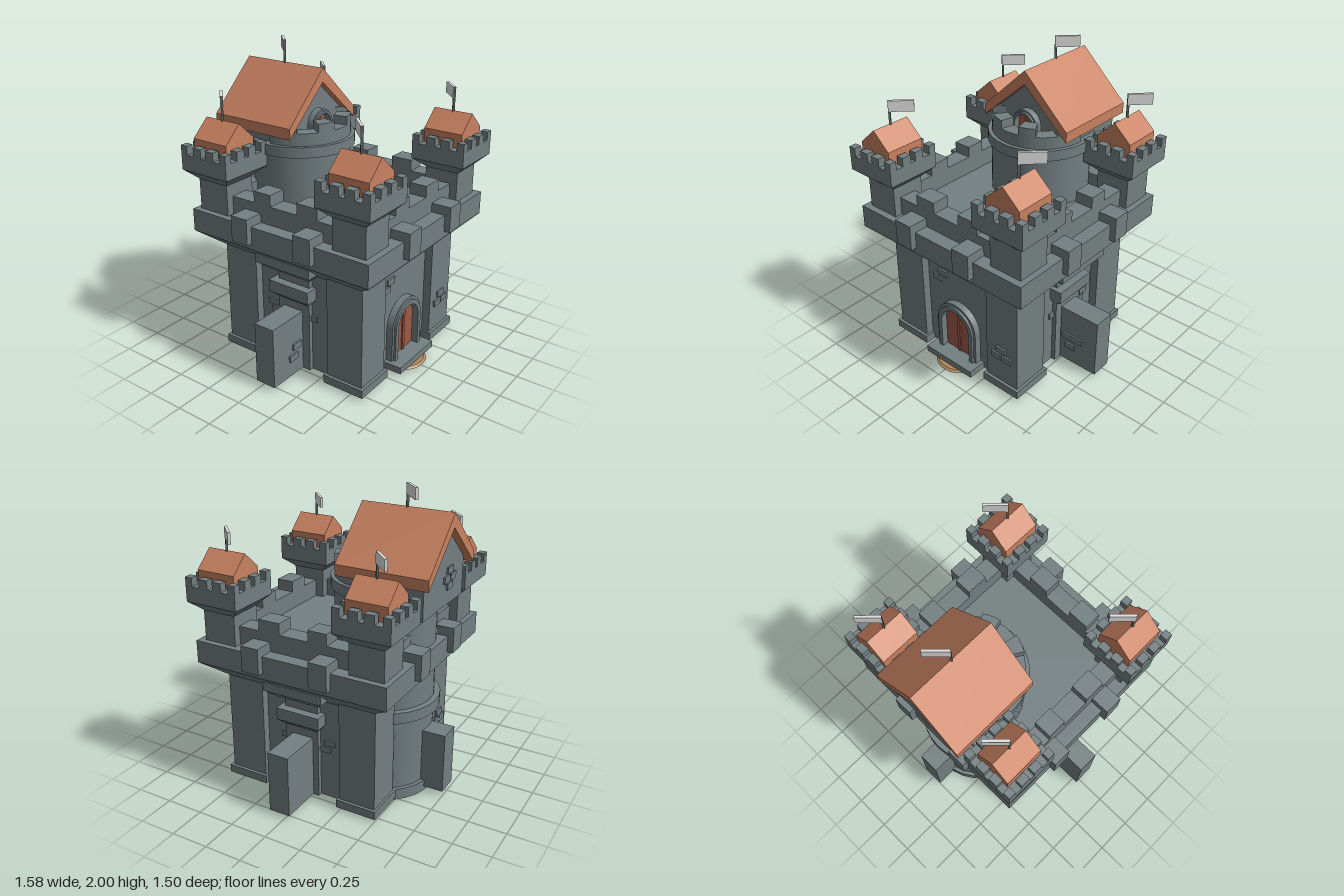
import * as THREE from 'three';

const mat = (name, color) => {
  const m = new THREE.MeshStandardMaterial({ color });
  m.name = name;
  return m;
};

export function createModel() {
  const root = new THREE.Group();
  root.name = 'castle';
  const stone = mat('stone grey', 0x737f81);
  const tile = mat('roof orange', 0xc88160);
  const wood = mat('door red', 0x9c5846);
  const cloth = mat('flag grey', 0xdedede);
  const iron = mat('pole grey', 0x5f6465);
  const mud = mat('mat tan', 0xb0895a);

  const add = (name, geo, m = stone, parent = root) => {
    const mesh = new THREE.Mesh(geo, m);
    mesh.name = name;
    parent.add(mesh);
    return mesh;
  };
  // box from its limits
  const box = (name, x0, x1, y0, y1, z0, z1, m = stone, parent = root) => {
    const g = new THREE.BoxGeometry(Math.abs(x1 - x0), y1 - y0, Math.abs(z1 - z0));
    g.translate((x0 + x1) / 2, (y0 + y1) / 2, (z0 + z1) / 2);
    return add(name, g, m, parent);
  };
  // box that narrows towards its bottom
  const flare = (name, x, z, y0, y1, bw, bd, tw, td, parent = root) => {
    const g = new THREE.BoxGeometry(1, 1, 1);
    const p = g.attributes.position;
    for (let i = 0; i < p.count; i++) {
      const top = p.getY(i) > 0;
      p.setXYZ(i, x + p.getX(i) * (top ? tw : bw), top ? y1 : y0, z + p.getZ(i) * (top ? td : bd));
    }
    g.computeVertexNormals();
    return add(name, g, stone, parent);
  };
  const drum = (name, r, y0, y1, z, m = stone, rTop = r) => {
    const g = new THREE.CylinderGeometry(rTop, r, y1 - y0, 28);
    g.translate(0, (y0 + y1) / 2, z);
    return add(name, g, m);
  };
  // flat shape in x-y, extruded along z
  const prism = (name, pts, z0, z1, m, parent = root) => {
    const s = new THREE.Shape(pts.map(([x, y]) => new THREE.Vector2(x, y)));
    const g = new THREE.ExtrudeGeometry(s, { depth: z1 - z0, bevelEnabled: false });
    g.translate(0, 0, z0);
    return add(name, g, m, parent);
  };
  // pole with a flag turned to the back left
  const flag = (x, y, z, top) => {
    const f = new THREE.Group();
    f.name = 'flag';
    box('flagPole', -0.007, 0.007, 0, top - y, -0.007, 0.007, iron, f);
    box('flagCloth', -0.005, 0.152, top - y - 0.07, top - y + 0.001, -0.009, 0.009, cloth, f);
    f.position.set(x, y, z);
    f.rotation.y = Math.PI / 4;
    root.add(f);
  };
  // round-headed doorway with two leaves
  const archPath = (s, r, y0, ySpring) => {
    s.moveTo(-r, y0);
    s.lineTo(r, y0);
    s.lineTo(r, ySpring);
    s.absarc(0, ySpring, r, 0, Math.PI, false);
    s.lineTo(-r, y0);
    return s;
  };
  const doorway = (r, frame, y0, ySpring, z) => {
    const ext = (s, d) => new THREE.ExtrudeGeometry(s, { depth: d, bevelEnabled: false, curveSegments: 10 });
    for (const [w, depth] of [[frame, 0.045], [frame * 0.6, 0.06]]) {
      const s = archPath(new THREE.Shape(), r + w, y0, ySpring);
      s.holes.push(archPath(new THREE.Path(), r, y0 + 0.0005, ySpring));
      add('doorFrame', ext(s, depth)).position.z = z;
    }
    add('doorLeaves', ext(archPath(new THREE.Shape(), r, y0, ySpring), 0.015), wood).position.z = z;
    box('doorSeam', -0.012, 0.012, y0, ySpring + r * 0.96, z + 0.012, z + 0.025, wood);
  };

  const CZ = 0.045;

  // keep: core, corner piers and their hollow-bottomed plinths
  box('coreWalls', -0.475, 0.475, 0.06, 0.75, -0.435, 0.525);
  for (const sx of [-1, 1]) {
    for (const [z0, z1] of [[0.32, 0.58], [-0.49, -0.24]]) {
      box('cornerPier', sx * 0.28, sx * 0.53, 0.06, 0.76, z0, z1);
      const p0 = z0 - 0.015, p1 = z1 + (z1 > 0 ? 0.02 : 0.01), t = 0.045;
      box('plinthOuter', sx * (0.55 - t), sx * 0.55, 0.02, 0.075, p0, p1);
      box('plinthInner', sx * 0.265, sx * (0.265 + t), 0.02, 0.075, p0, p1);
      box('plinthBack', sx * 0.265, sx * 0.55, 0.02, 0.075, p0, p0 + t);
      box('plinthFront', sx * 0.265, sx * 0.55, 0.02, 0.075, p1 - t, p1);
    }
    box('sideSill', sx * 0.44, sx * 0.475, 0.025, 0.07, -0.24, 0.32);
  }
  for (const z of [0.12, 0.24, 0.36]) box('floorBeam', -0.46, 0.46, 0.03, 0.07, z, z + 0.05);
  box('frontSill', -0.28, 0.28, 0.025, 0.07, 0.46, 0.525);

  // overhanging cornice and wall walk
  flare('corniceSlope', 0, CZ, 0.69, 0.86, 0.92, 0.92, 1.34, 1.34);
  box('corniceBand', -0.67, 0.67, 0.86, 1.01, -0.63, 0.71);

  // parapet with merlons, and blocks hung over the edge
  box('frontParapet', -0.42, 0.42, 1.0, 1.13, 0.495, 0.615);
  box('backParapet', -0.42, 0.42, 1.0, 1.13, -0.54, -0.42);
  for (const sx of [-1, 1]) {
    box('sideParapet', sx * 0.455, sx * 0.58, 1.0, 1.13, -0.42, 0.5);
    box('frontMerlon', sx * 0.1, sx * 0.25, 1.13, 1.205, 0.495, 0.615);
    box('frontEdgeBlock', sx * 0.175, sx * 0.305, 0.9, 1.07, 0.615, 0.75);
    box('backEdgeBlock', sx * 0.175, sx * 0.305, 0.9, 1.07, -0.67, -0.54);
    for (const [z0, z1] of [[0.14, 0.29], [-0.19, -0.06]]) box('sideMerlon', sx * 0.455, sx * 0.58, 1.13, 1.205, z0, z1);
    for (const [z0, z1] of [[0.21, 0.335], [-0.265, -0.14]]) box('sideEdgeBlock', sx * 0.58, sx * 0.71, 0.9, 1.07, z0, z1);
  }

  // four corner turrets
  for (const x of [-0.515, 0.515]) for (const z of [0.55, -0.48]) {
    const t = new THREE.Group();
    t.name = 'cornerTurret';
    t.position.set(x, 0, z);
    root.add(t);
    box('turretShaft', -0.115, 0.115, 1.0, 1.22, -0.115, 0.115, stone, t);
    flare('turretFlare', 0, 0, 1.21, 1.275, 0.23, 0.23, 0.37, 0.37, t);
    box('turretHead', -0.185, 0.185, 1.275, 1.378, -0.185, 0.185, stone, t);
    const w = 0.064, step = (0.37 - w) / 3;
    for (let i = 0; i < 4; i++) for (let j = 0; j < 4; j++) {
      if (i % 3 && j % 3) continue;
      const a = -0.185 + i * step, b = -0.185 + j * step;
      // keep the merlons in a thin ring along each side
      const [a0, a1] = i === 0 ? [a, a + 0.05] : i === 3 ? [a + w - 0.05, a + w] : [a, a + w];
      const [b0, b1] = j === 0 ? [b, b + 0.05] : j === 3 ? [b + w - 0.05, b + w] : [b, b + w];
      box('turretMerlon', a0, a1, 1.378, 1.435, b0, b1, stone, t);
    }
    prism('turretRoof', [[-0.122, 1.375], [0.122, 1.375], [0.122, 1.47], [0, 1.58], [-0.122, 1.47]], -0.135, 0.135, tile, t);
    flag(x, 1.57, z, 1.73);
  }

  // round tower with hoops and a crown around a red floor
  const TZ = -0.275;
  drum('roundTower', 0.325, 0.02, 1.42, TZ);
  drum('towerPlinth', 0.35, 0.0, 0.075, TZ);
  drum('lowerHoop', 0.365, 0.56, 0.635, TZ);
  drum('upperHoop', 0.347, 1.35, 1.42, TZ);
  drum('towerFloor', 0.23, 1.41, 1.426, TZ, wood);
  const sector = (name, a0, a1, y0, y1) => {
    const s = new THREE.Shape();
    s.absarc(0, 0, 0.32, a0, a1, false);
    s.absarc(0, 0, 0.225, a1, a0, true);
    const g = new THREE.ExtrudeGeometry(s, { depth: y1 - y0, bevelEnabled: false, curveSegments: a1 - a0 > 2 ? 14 : 4 });
    g.rotateX(-Math.PI / 2);
    g.translate(0, y0, TZ);
    add(name, g);
  };
  sector('crownWall', -Math.PI, 0, 1.42, 1.5);
  for (let i = 0; i < 4; i++) {
    const a = -Math.PI + (i + 0.5) * Math.PI / 4;
    sector('crownMerlon', a - 0.18, a + 0.18, 1.5, 1.555);
  }

  // gabled hall and its roof
  prism('gabledHall', [[-0.29, 1.27], [0.29, 1.27], [0.29, 1.515], [0, 1.775], [-0.29, 1.515]], -0.66, -0.15, stone);
  prism('hallRoof', [[-0.335, 1.475], [0, 1.77], [0.335, 1.475], [0.335, 1.545], [0, 1.86], [-0.335, 1.545]], -0.71, -0.1, tile);
  flag(0, 1.84, -0.405, 2.0);
  doorway(0.07, 0.026, 1.42, 1.5, -0.15);

  // gate, step and mat
  doorway(0.12, 0.05, 0.065, 0.29, 0.525);
  box('gateStep', -0.2, 0.2, 0.025, 0.07, 0.5, 0.655);
  drum('doorMat', 0.17, 0.012, 0.024, 0.53, mud, 0.155);

  // buttresses and side pilasters with corbels
  box('backButtress', -0.075, 0.075, 0.03, 0.44, -0.748, -0.55);
  for (const sx of [-1, 1]) {
    box('sideButtress', sx * 0.45, sx * 0.79, 0.03, 0.44, -0.035, 0.11);
    box('sidePilaster', sx * 0.45, sx * 0.505, 0.025, 0.75, CZ - 0.12, CZ + 0.12);
    flare('lowerCorbelSlope', sx * 0.475, CZ, 0.5, 0.54, 0.08, 0.25, 0.17, 0.3);
    box('lowerCorbel', sx * 0.45, sx * 0.56, 0.54, 0.62, CZ - 0.155, CZ + 0.15);
    flare('upperCorbelSlope', sx * 0.5, CZ, 0.69, 0.75, 0.08, 0.3, 0.22, 0.415);
    box('upperCorbel', sx * 0.45, sx * 0.615, 0.75, 0.81, CZ - 0.212, CZ + 0.207);
    // loose stones on the sides
    for (const [z, y] of [[-0.145, 0.42], [-0.115, 0.37], [0.17, 0.4]]) {
      box('sideStone', sx * 0.46, sx * 0.487, y - 0.02, y + 0.02, z - 0.037, z + 0.037);
    }
  }

  // raised stones on front and back faces: x, y, z
  const stones = [
    [-0.145, 0.63, 0.525], [-0.19, 0.58, 0.525],
    [0.405, 0.325, 0.58], [0.365, 0.27, 0.58], [0.45, 0.27, 0.58],
    [-0.57, 0.23, 0.11], [-0.605, 0.16, 0.11], [0.585, 0.16, 0.11], [0.64, 0.23, 0.11], [0.56, 0.23, 0.11],
    [-0.405, 0.325, -0.49], [-0.365, 0.27, -0.49], [-0.45, 0.27, -0.49],
    [-0.07, 1.49, -0.66], [-0.025, 1.44, -0.66], [-0.115, 1.44, -0.66], [-0.07, 1.39, -0.66],
  ];
  for (const [x, y, z] of stones) box('raisedStone', x - 0.039, x + 0.039, y - 0.021, y + 0.021, z - 0.012, z + 0.012);
  for (const [a, y] of [[-0.42, 0.43], [-0.62, 0.36]]) {
    const s = box('towerStone', -0.05, 0.05, -0.03, 0.03, -0.012, 0.012);
    s.position.set(Math.sin(a) * 0.325, y, TZ - Math.cos(a) * 0.325);
    s.rotation.y = -a;
  }
  return root;
}
